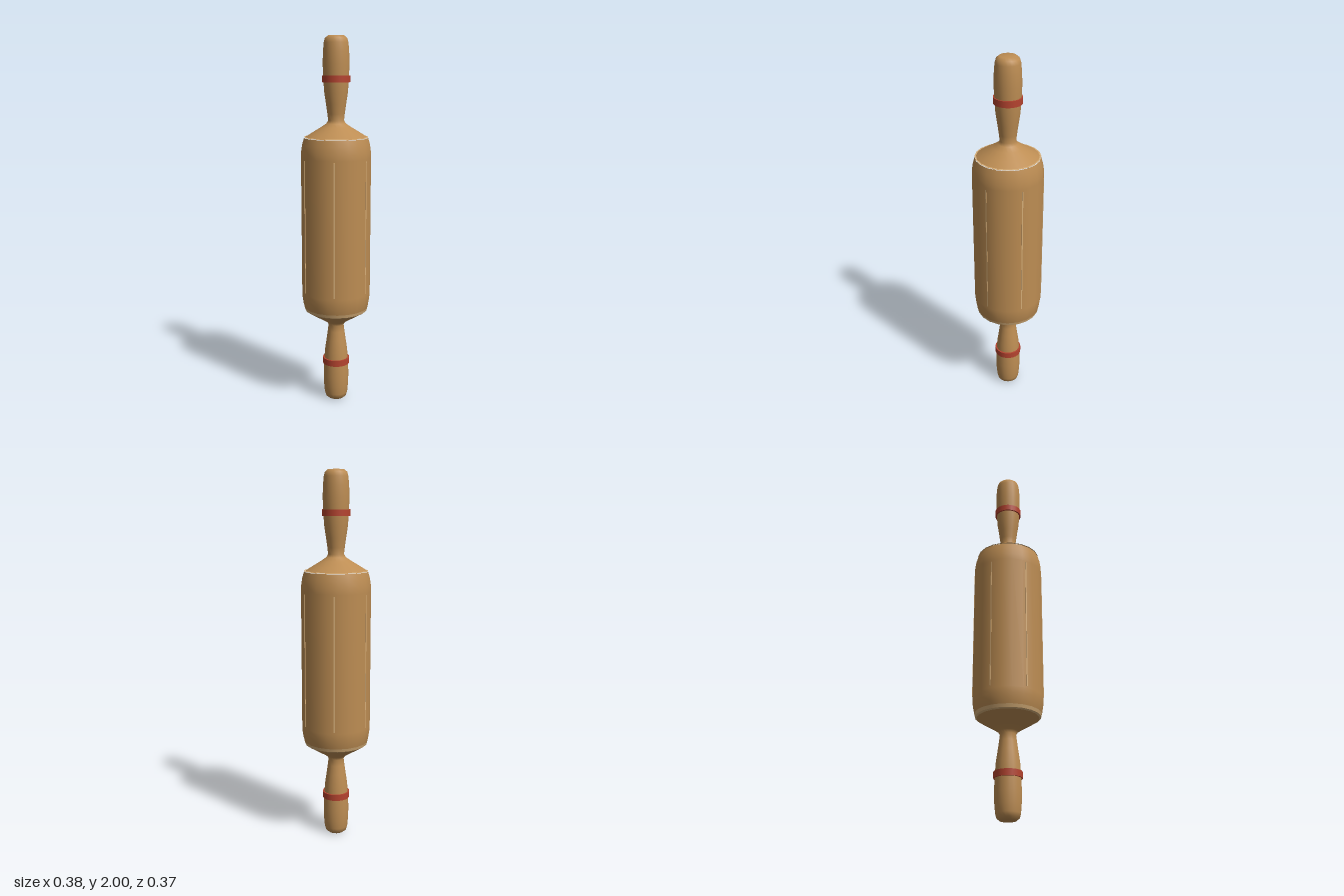
import * as THREE from 'three';

const material = (name, color, side = THREE.FrontSide) => {
  const m = new THREE.MeshStandardMaterial({ color, side });
  m.name = name;
  return m;
};

export function createModel() {
  const wood = material('wood', 0xbd8d53);
  const paleWood = material('pale wood', 0xd6ae78, THREE.DoubleSide);
  const red = material('red paint', 0xb5432f);
  const group = new THREE.Group();

  const add = (name, geometry, mat) => {
    const mesh = new THREE.Mesh(geometry, mat);
    mesh.name = name;
    group.add(mesh);
    return mesh;
  };
  // Lathe from [radius, y] pairs listed from bottom to top
  const turn = (name, profile, mat) =>
    add(name, new THREE.LatheGeometry(profile.map(([r, y]) => new THREE.Vector2(r, y)), 20), mat);
  // Flips a profile about y = 1
  const flip = (profile) => profile.map(([r, y]) => [r, 2 - y]).reverse();

  // Roller barrel with softened ends
  const end = [[0.187, 1.37], [0.186, 1.4], [0.18, 1.44], [0.17, 1.474]];
  turn('rollerBarrel', [...flip(end), ...end], wood);

  // Shoulder flowing through the neck into a rounded handle
  const handle = [
    [0.168, 1.476], [0.125, 1.503], [0.08, 1.53], [0.052, 1.549], [0.042, 1.565],
    [0.046, 1.6], [0.053, 1.65], [0.062, 1.71], [0.067, 1.78], [0.07, 1.86],
    [0.068, 1.92], [0.064, 1.965], [0.058, 1.987], [0.042, 2], [0, 2],
  ];
  turn('upperHandle', handle, wood);
  turn('lowerHandle', flip(handle), wood);

  // Pale rims: a flat ledge above, a narrow collar below
  turn('upperRim', [[0.171, 1.479], [0.163, 1.4795]], paleWood);
  turn('lowerRim', [[0.1715, 0.526], [0.1765, 0.543]], paleWood);
  turn('lowerRimLedge', [[0.163, 0.5205], [0.1715, 0.526]], paleWood);

  // Painted bands
  for (const [name, y] of [['upperBand', 1.78], ['lowerBand', 0.225]]) {
    add(name, new THREE.CylinderGeometry(0.074, 0.074, 0.034, 24), red).position.y = y;
  }

  // Six fine inlaid lines around the barrel
  for (let i = 0; i < 6; i++) {
    const a = (i * Math.PI) / 3;
    const line = add('inlayLine' + (i + 1), new THREE.BoxGeometry(0.006, 0.72, 0.006), paleWood);
    line.position.set(0.185 * Math.cos(a), 1, 0.185 * Math.sin(a));
    line.rotation.y = Math.PI / 2 - a;
  }
  return group;
}
